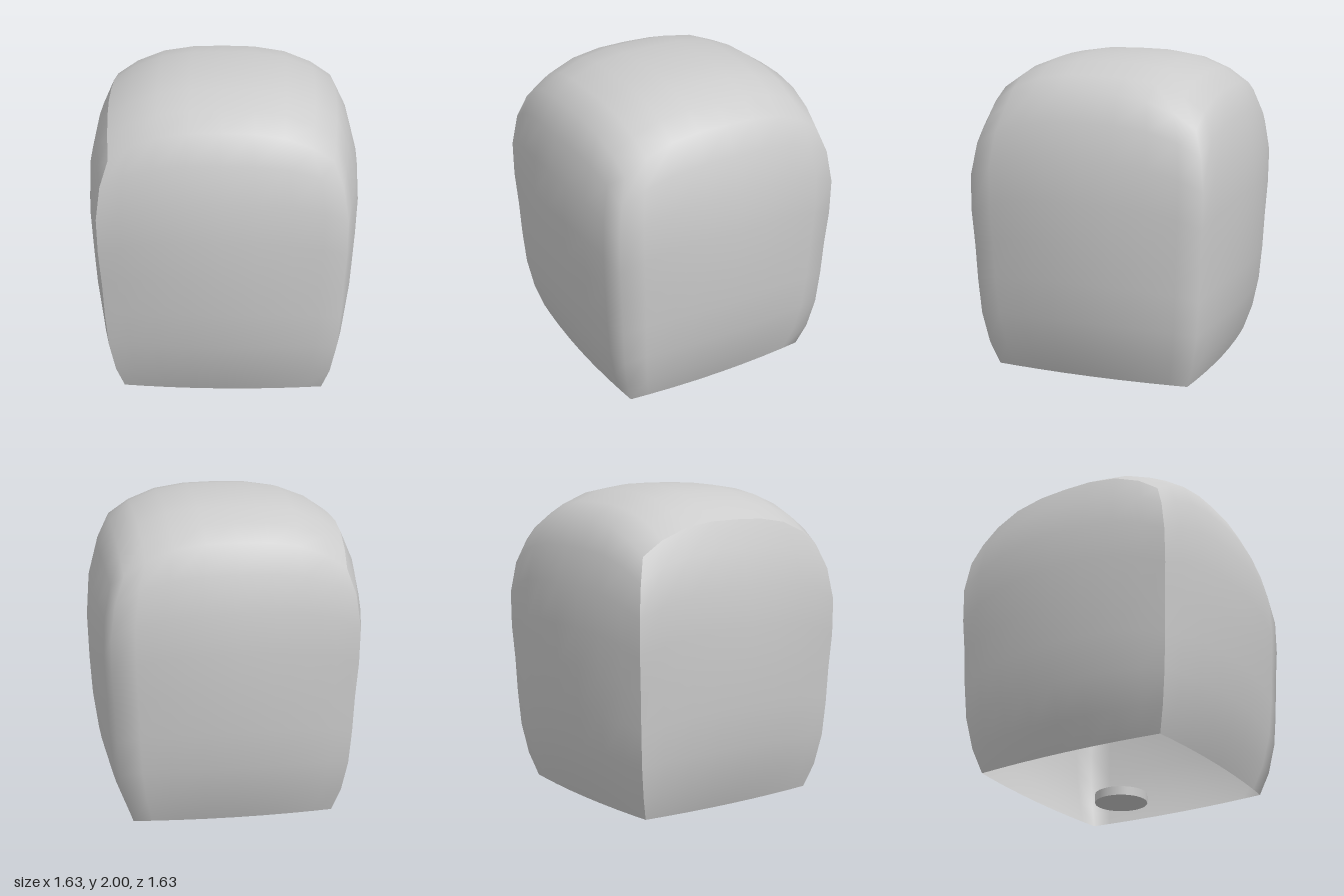
import * as THREE from 'three';
import { mergeGeometries, mergeVertices } from 'three/addons/utils/BufferGeometryUtils.js';

// Grid stops across each panel of the shell, closer together near the edges
const STOPS = [-1, -0.81, -0.56, -0.28, 0, 0.28, 0.56, 0.81, 1];

// Bulge a point of the unit cube into the soft, tapered shell
function bulge(x, y, z) {
  const width = 0.81 - 0.157 * Math.abs(y) ** 3 + 0.04 * y - 0.0225 * y ** 3;
  const cornerDrop = 0.108 - 0.075 * y * y;
  const top = 2 - 0.18 * (Math.abs(x) ** 3 + Math.abs(z) ** 3);
  const lean = Math.max(y, 0) ** 2 * 0.008;
  return [
    x * (width - cornerDrop * z * z) - 0.008 - lean,
    THREE.MathUtils.lerp(0.12, top, (y + 1) / 2),
    z * (width - cornerDrop * x * x) - 0.005 - lean,
  ];
}

// One curved panel; place(u, v) gives its point on the unit cube
function panel(place) {
  const positions = [];
  const index = [];
  const n = STOPS.length;
  for (const v of STOPS) for (const u of STOPS) positions.push(...bulge(...place(u, v)));
  for (let j = 0; j < n - 1; j++) {
    for (let i = 0; i < n - 1; i++) {
      const a = j * n + i;
      index.push(a, a + 1, a + n + 1, a, a + n + 1, a + n);
    }
  }
  const geometry = new THREE.BufferGeometry();
  geometry.setAttribute('position', new THREE.Float32BufferAttribute(positions, 3));
  geometry.setIndex(index);
  return geometry;
}

export function createModel() {
  const group = new THREE.Group();
  const shellMaterial = new THREE.MeshStandardMaterial({ color: 0xcccccc, side: THREE.DoubleSide });
  const addMesh = (name, geometry, material) => {
    const mesh = new THREE.Mesh(geometry, material);
    mesh.name = name;
    group.add(mesh);
    return mesh;
  };

  // Front, left, back and top flow smoothly into each other
  const body = mergeVertices(mergeGeometries([
    panel((u, v) => [u, v, 1]),
    panel((u, v) => [1, v, -u]),
    panel((u, v) => [-u, v, -1]),
    panel((u, v) => [u, 1, -v]),
  ]));
  body.computeVertexNormals();
  addMesh('shell', body, shellMaterial);

  // Right panel meets the shell along a crease
  const side = panel((u, v) => [-1, v, u]);
  side.computeVertexNormals();
  addMesh('rightPanel', side, shellMaterial);

  // Small disc below the open underside
  const disc = addMesh('baseDisc', new THREE.CylinderGeometry(0.155, 0.155, 0.052, 32),
    new THREE.MeshStandardMaterial({ color: 0xcccccc }));
  disc.position.set(-0.025, 0.026, -0.015);

  return group;
}
